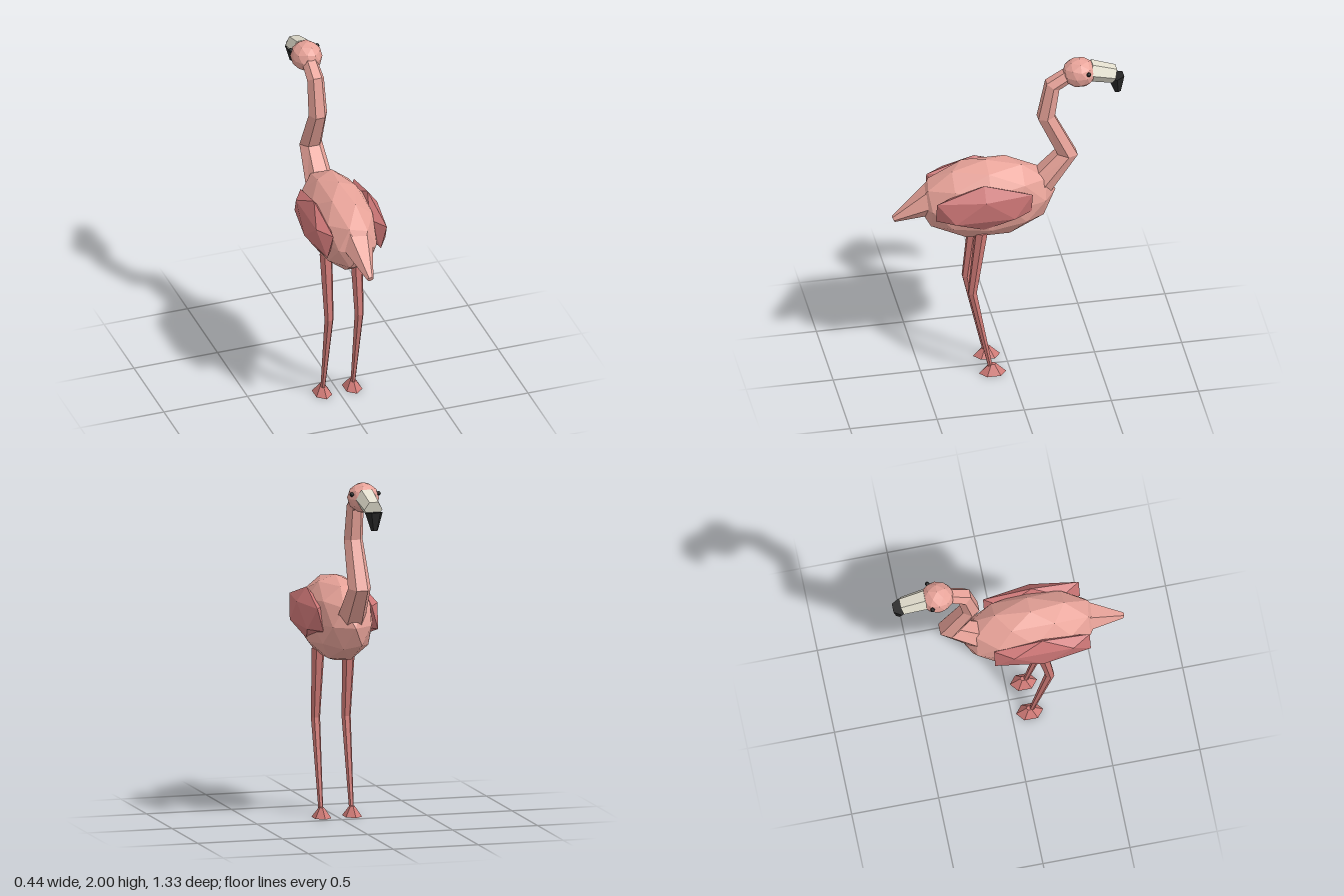
import * as THREE from 'three';

const mat = (name, color) => {
  const m = new THREE.MeshStandardMaterial({ color, flatShading: true });
  m.name = name;
  return m;
};

// Six-sided tapered limb through points [y, z, radius] in the plane of constant x, with mitred joints
function limb(points, sides = 6) {
  const pos = [], index = [];
  const centres = points.map(([y, z]) => new THREE.Vector3(0, y, z));
  const U = new THREE.Vector3(1, 0, 0);
  centres.forEach((c, i) => {
    const T = new THREE.Vector3();
    if (i > 0) T.add(c.clone().sub(centres[i - 1]).normalize());
    if (i < centres.length - 1) T.add(centres[i + 1].clone().sub(c).normalize());
    const V = T.normalize().clone().cross(U);
    for (let k = 0; k < sides; k++) {
      const a = (k / sides) * Math.PI * 2;
      const p = c.clone().addScaledVector(U, Math.cos(a) * points[i][2]).addScaledVector(V, Math.sin(a) * points[i][2]);
      pos.push(p.x, p.y, p.z);
    }
  });
  const last = (points.length - 1) * sides;
  for (let i = 0; i < last; i += sides) {
    for (let k = 0; k < sides; k++) {
      const n = (k + 1) % sides;
      index.push(i + k, i + n, i + sides + n, i + k, i + sides + n, i + sides + k);
    }
  }
  // End caps
  for (let k = 1; k < sides - 1; k++) {
    index.push(0, k + 1, k, last, last + k, last + k + 1);
  }
  const g = new THREE.BufferGeometry();
  g.setAttribute('position', new THREE.Float32BufferAttribute(pos, 3));
  g.setIndex(index);
  const flat = g.toNonIndexed();
  flat.computeVertexNormals();
  return flat;
}

// Faceted ball with a corner pointing straight up, stretched to the given radii
function ball(detail, rx, ry, rz) {
  const g = new THREE.IcosahedronGeometry(1, detail);
  g.rotateX(-Math.atan2((1 + Math.sqrt(5)) / 2, 1));
  g.rotateY(Math.PI / 2);
  g.scale(rx, ry, rz);
  g.computeVertexNormals();
  return g;
}

export function createModel() {
  const group = new THREE.Group();
  const pink = mat('featherPink', 0xe8a399);
  const wingPink = mat('wingRose', 0xcc7676);
  const legPink = mat('legRose', 0xcf7a76);
  const ivory = mat('beakIvory', 0xe3dfcf);
  const black = mat('beakBlack', 0x262626);

  const add = (name, geometry, material, x = 0, y = 0, z = 0) => {
    const m = new THREE.Mesh(geometry, material);
    m.name = name;
    m.position.set(x, y, z);
    group.add(m);
    return m;
  };

  // Body and tail
  add('body', ball(1, 0.192, 0.247, 0.4), pink, 0, 1.138, 0.125);
  add('tail', limb([[1.165, 0.42, 0.1], [1.05, 0.655, 0.019]]), pink);

  // Curved neck and head
  add('neck', limb([
    [1.14, -0.14, 0.088],
    [1.382, -0.34, 0.067],
    [1.64, -0.22, 0.055],
    [1.845, -0.257, 0.05],
    [1.92, -0.38, 0.045],
  ]), pink);
  add('head', ball(1, 0.09, 0.0875, 0.098), pink, 0, 1.9125, -0.412);

  // Beak with a bent dark tip
  add('beak', limb([[1.917, -0.47, 0.063], [1.877, -0.612, 0.053]]), ivory);
  add('beakTip', limb([[1.863, -0.621, 0.052], [1.76, -0.632, 0.02]]), black);

  for (const [side, s] of [['left', 1], ['right', -1]]) {
    add(side + 'Eye', ball(1, 0.013, 0.013, 0.013), black, s * 0.079, 1.94, -0.452);
    add(side + 'Wing', ball(0, 0.065, 0.148, 0.323), wingPink, s * 0.16, 1.167, 0.163);

    // Leg with a backward knee, and a wedge-shaped foot
    add(side + 'Leg', limb([[0.96, 0.168, 0.038], [0.555, 0.219, 0.027], [0.04, 0.115, 0.014]]), legPink, s * 0.09);
    const foot = add(side + 'Foot', new THREE.CylinderGeometry(0.02, 0.078, 0.058, 6), legPink, s * 0.09, 0.029, 0.103);
    foot.scale.x = 0.7;
  }
  return group;
}
